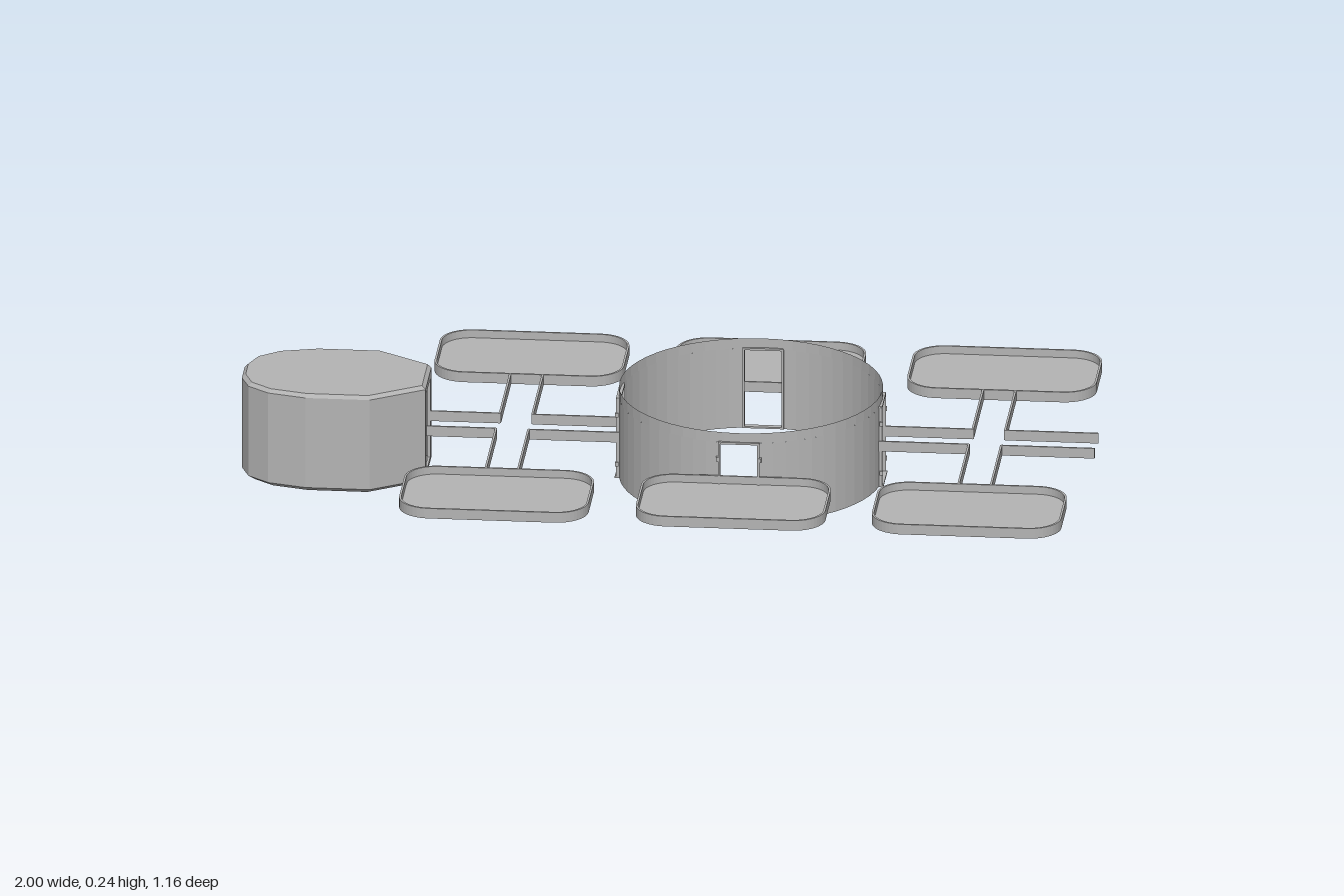
import * as THREE from 'three';

const ZC = -0.004; // symmetry line of the layout
const HUB_X = 0.19, HUB_R = 0.308;
const LOW = 0.11, HIGH = 0.135; // shared level of trays and corridors

export function createModel() {
  const root = new THREE.Group();
  const grey = new THREE.MeshStandardMaterial({ color: 0xb4b4b4, side: THREE.DoubleSide, flatShading: true });
  grey.name = 'plainGrey';

  function add(parent, name, geometry, x = 0, y = 0, z = 0) {
    const mesh = new THREE.Mesh(geometry, grey);
    mesh.name = name;
    mesh.position.set(x, y, z);
    parent.add(mesh);
    return mesh;
  }
  const box = (parent, name, w, h, d, x, y, z) => add(parent, name, new THREE.BoxGeometry(w, h, d), x, y, z);

  function roundedRect(Type, w, d, r) {
    const s = new Type(), x = w / 2, y = d / 2;
    s.moveTo(-x + r, -y);
    s.lineTo(x - r, -y);
    s.absarc(x - r, -y + r, r, -Math.PI / 2, 0);
    s.lineTo(x, y - r);
    s.absarc(x - r, y - r, r, 0, Math.PI / 2);
    s.lineTo(-x + r, y);
    s.absarc(-x + r, y - r, r, Math.PI / 2, Math.PI);
    s.lineTo(-x, -y + r);
    s.absarc(-x + r, -y + r, r, Math.PI, Math.PI * 1.5);
    return s;
  }

  // Six shallow trays with a thin rim
  const rim = roundedRect(THREE.Shape, 0.444, 0.278, 0.075);
  rim.holes.push(roundedRect(THREE.Path, 0.434, 0.268, 0.07));
  const rimGeo = new THREE.ExtrudeGeometry(rim, { depth: HIGH - LOW, bevelEnabled: false, curveSegments: 6 });
  const floorGeo = new THREE.ExtrudeGeometry(roundedRect(THREE.Shape, 0.438, 0.272, 0.072),
    { depth: 0.006, bevelEnabled: false, curveSegments: 6 });
  for (const g of [rimGeo, floorGeo]) g.rotateX(-Math.PI / 2);
  for (const x of [-0.365, HUB_X, 0.743]) {
    for (const side of [-1, 1]) {
      const tray = new THREE.Group();
      tray.name = 'tray';
      tray.position.set(x, LOW, ZC + side * 0.443);
      add(tray, 'trayRim', rimGeo);
      add(tray, 'trayFloor', floorGeo);
      root.add(tray);
    }
  }

  // Round hub wall: four arcs between the doorways, a header and a sill
  const hub = new THREE.Group();
  hub.name = 'hub';
  hub.position.set(HUB_X, 0, ZC);
  root.add(hub);
  const gap = 0.15, base = 0.02, doorTop = 0.218, top = 0.243;
  const arc = (h, start, len, n) => new THREE.CylinderGeometry(HUB_R, HUB_R, h, n, 1, true, start, len);
  for (let i = 0; i < 4; i++) {
    const a = i * Math.PI / 2;
    add(hub, 'hubWall', arc(doorTop - base, a + gap, Math.PI / 2 - 2 * gap, 12), 0, (base + doorTop) / 2, 0);

    // Door frame with small hinges on both jambs
    const door = new THREE.Group();
    door.name = 'doorway';
    door.rotation.y = a;
    hub.add(door);
    for (const s of [-1, 1]) {
      box(door, 'doorJamb', 0.005, doorTop - base, 0.012, s * 0.046, (base + doorTop) / 2, HUB_R - 0.002);
      for (const y of [0.055, 0.178])
        box(door, 'hinge', 0.006, 0.01, 0.008, s * 0.05, y, HUB_R + 0.002);
    }
    box(door, 'doorLintel', 0.096, 0.005, 0.012, 0, doorTop, HUB_R - 0.002);
    box(door, 'doorSill', 0.096, 0.004, 0.014, 0, base + 0.002, HUB_R);
  }
  add(hub, 'hubHeader', arc(top - doorTop, 0, Math.PI * 2, 56), 0, (top + doorTop) / 2, 0);

  // Crossing corridors, each made of four L-shaped pairs of low walls
  const t = 0.005, h = HIGH - LOW, midY = (HIGH + LOW) / 2;
  function corridor(x0, x1, cx) {
    const g = new THREE.Group();
    g.name = 'corridor';
    root.add(g);
    for (const s of [-1, 1]) {
      const z = ZC + s * 0.049;
      const ends = [[x0, cx - 0.038], [cx + 0.038, x1]];
      for (const [a, b] of ends)
        box(g, 'longWall', b - a, h, t, (a + b) / 2, midY, z);
      for (const q of [-1, 1])
        box(g, 'sideWall', t, h, 0.257, cx + q * 0.038, midY, ZC + s * 0.1775);
      box(g, 'endSill', 0.081, h, t, cx, midY, ZC + s * 0.306);
    }
  }
  corridor(-0.567, -0.112, -0.365);
  corridor(0.494, 1.0, 0.743);

  // Pod: half outline mirrored, stacked as cross-sections with bevelled ends
  const pod = new THREE.Group();
  pod.name = 'pod';
  pod.position.set(-0.78, 0, ZC);
  root.add(pod);
  const half = [[0.214, 0.072], [0.09, 0.152], [-0.06, 0.152], [-0.15, 0.128], [-0.2, 0.088], [-0.22, 0.035]];
  const outline = [...half, ...half.slice().reverse().map(([x, z]) => [x, -z])];
  const levels = [[0, 0.93], [0.01, 1], [0.234, 1], [0.243, 0.96]];
  const point = (k, i) => {
    const [x, z] = outline[i % outline.length], [y, s] = levels[k];
    return [x * s, y, z * s];
  };
  const pos = [];
  const n = outline.length;
  for (let k = 0; k < 3; k++) {
    for (let i = 0; i < n; i++) {
      if (k === 1 && i === n - 1) continue; // doorway side
      const a = point(k, i), b = point(k, i + 1), c = point(k + 1, i + 1), d = point(k + 1, i);
      pos.push(...a, ...c, ...b, ...a, ...d, ...c);
    }
  }
  for (let i = 1; i < n - 1; i++) {
    pos.push(...point(0, 0), ...point(0, i), ...point(0, i + 1));
    pos.push(...point(3, 0), ...point(3, i + 1), ...point(3, i));
  }
  const shell = new THREE.BufferGeometry();
  shell.setAttribute('position', new THREE.Float32BufferAttribute(pos, 3));
  shell.computeVertexNormals();
  add(pod, 'podShell', shell);
  for (const s of [-1, 1])
    box(pod, 'podDoorJamb', 0.006, 0.224, 0.027, 0.211, 0.122, s * 0.0585);
  box(pod, 'podDoorHeader', 0.006, 0.018, 0.09, 0.211, 0.225, 0);
  box(pod, 'podDoorSill', 0.006, 0.01, 0.09, 0.211, 0.015, 0);

  return root;
}
